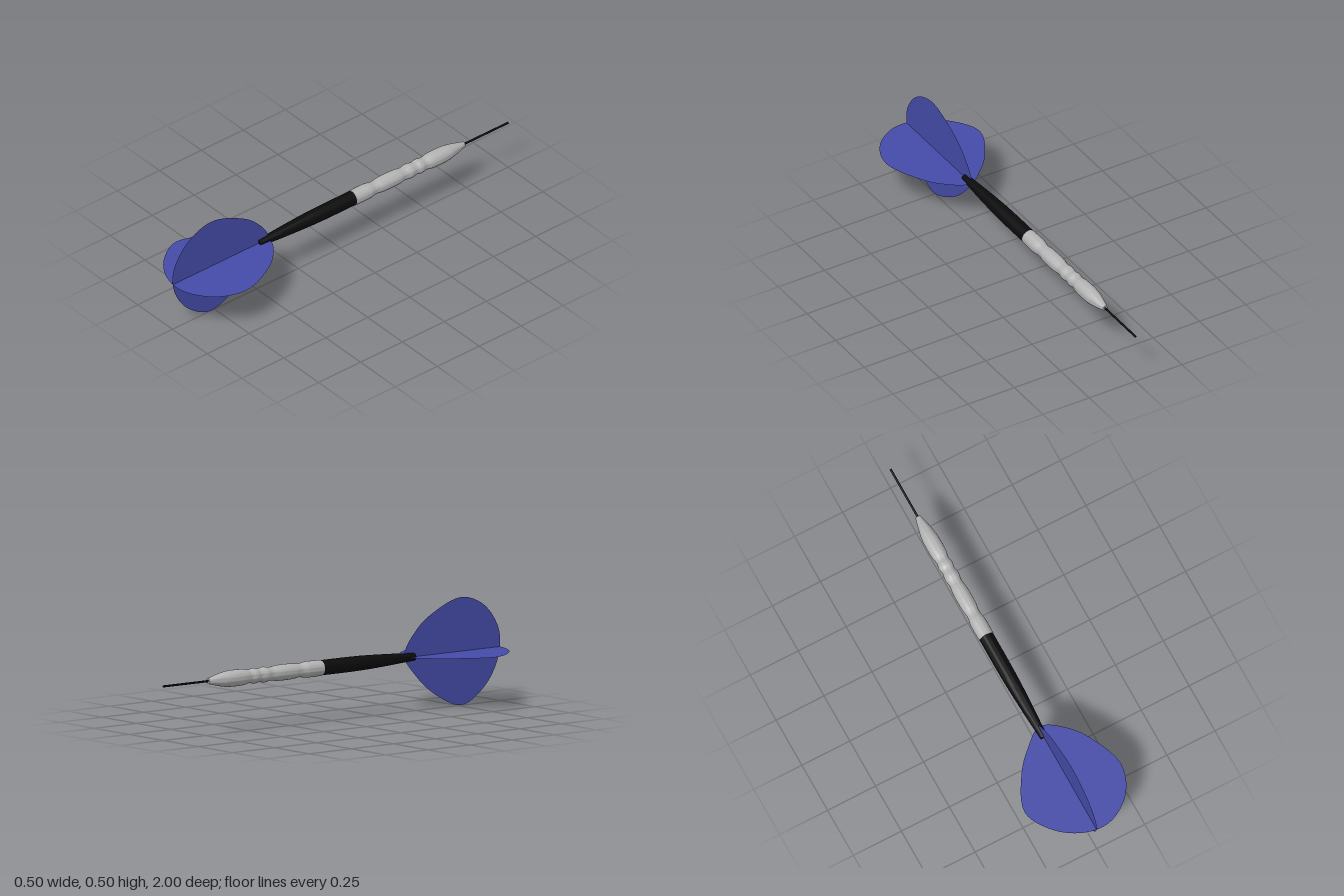
import * as THREE from 'three';
import { toCreasedNormals } from 'three/addons/utils/BufferGeometryUtils.js';

const AXIS_Y = 0.254;

const mat = (color, side = THREE.FrontSide) => new THREE.MeshStandardMaterial({ color, side });

// Turned part along z from [z, radius] pairs, with z rising
function turned(name, profile, material) {
  const pts = profile.map(([z, r]) => new THREE.Vector2(r, z));
  const geo = toCreasedNormals(new THREE.LatheGeometry(pts, 40), 0.6);
  geo.rotateX(Math.PI / 2);
  const mesh = new THREE.Mesh(geo, material);
  mesh.name = name;
  return mesh;
}

// Smooth a run of [z, radius] pairs
function smooth(pairs, n) {
  const curve = new THREE.CatmullRomCurve3(
    pairs.map(([z, r]) => new THREE.Vector3(z, r, 0)), false, 'centripetal');
  return curve.getPoints(n).map((p) => [p.x, p.y]);
}

export function createModel() {
  const dart = new THREE.Group();
  dart.name = 'dart';
  const body = new THREE.Group();
  body.name = 'body';
  body.position.y = AXIS_Y;
  dart.add(body);

  const black = mat(0x0b0b0b);

  // Needle point
  body.add(turned('point', [[-1, 0], [-1, 0.005], [-0.72, 0.005], [-0.72, 0]], black));

  // Grip barrel: tapered nose, then shallow finger grooves
  const grip = smooth([
    [-0.735, 0.013], [-0.7, 0.022], [-0.66, 0.031], [-0.62, 0.037], [-0.53, 0.037],
    [-0.495, 0.031], [-0.465, 0.036], [-0.44, 0.031], [-0.405, 0.036], [-0.37, 0.031],
    [-0.33, 0.036], [-0.24, 0.036], [-0.195, 0.031], [-0.16, 0.037], [-0.07, 0.037],
  ], 84);
  body.add(turned('barrel', [[-0.735, 0], ...grip, [-0.07, 0]], mat(0xb4b4b4)));

  // Tapered shaft
  const taper = smooth([
    [-0.07, 0.035], [0.1, 0.035], [0.2, 0.033], [0.35, 0.026], [0.488, 0.017],
  ], 24);
  body.add(turned('shaft', [[-0.07, 0], ...taper, [0.488, 0]], black));

  // Two crossed sheet flights, each a closed curve of [z, offset from axis]
  const outline = [
    [0.43, 0.01], [0.5, 0.121], [0.6, 0.193], [0.77, 0.251], [0.9, 0.206], [0.98, 0.11],
    [1, 0.025], [0.975, -0.08], [0.9, -0.182], [0.77, -0.251], [0.6, -0.178], [0.5, -0.092],
  ].map(([z, r]) => new THREE.Vector3(r, z, 0));
  const loop = new THREE.CatmullRomCurve3(outline, true, 'centripetal').getPoints(72);
  loop.pop();
  const sheet = new THREE.ShapeGeometry(new THREE.Shape(loop.map((p) => new THREE.Vector2(p.x, p.y))));
  sheet.rotateX(Math.PI / 2);
  const blue = mat(0x454ba8, THREE.DoubleSide);
  ['flightHorizontal', 'flightVertical'].forEach((name, i) => {
    const flight = new THREE.Mesh(sheet, blue);
    flight.name = name;
    flight.rotation.z = i * Math.PI / 2;
    body.add(flight);
  });

  return dart;
}
